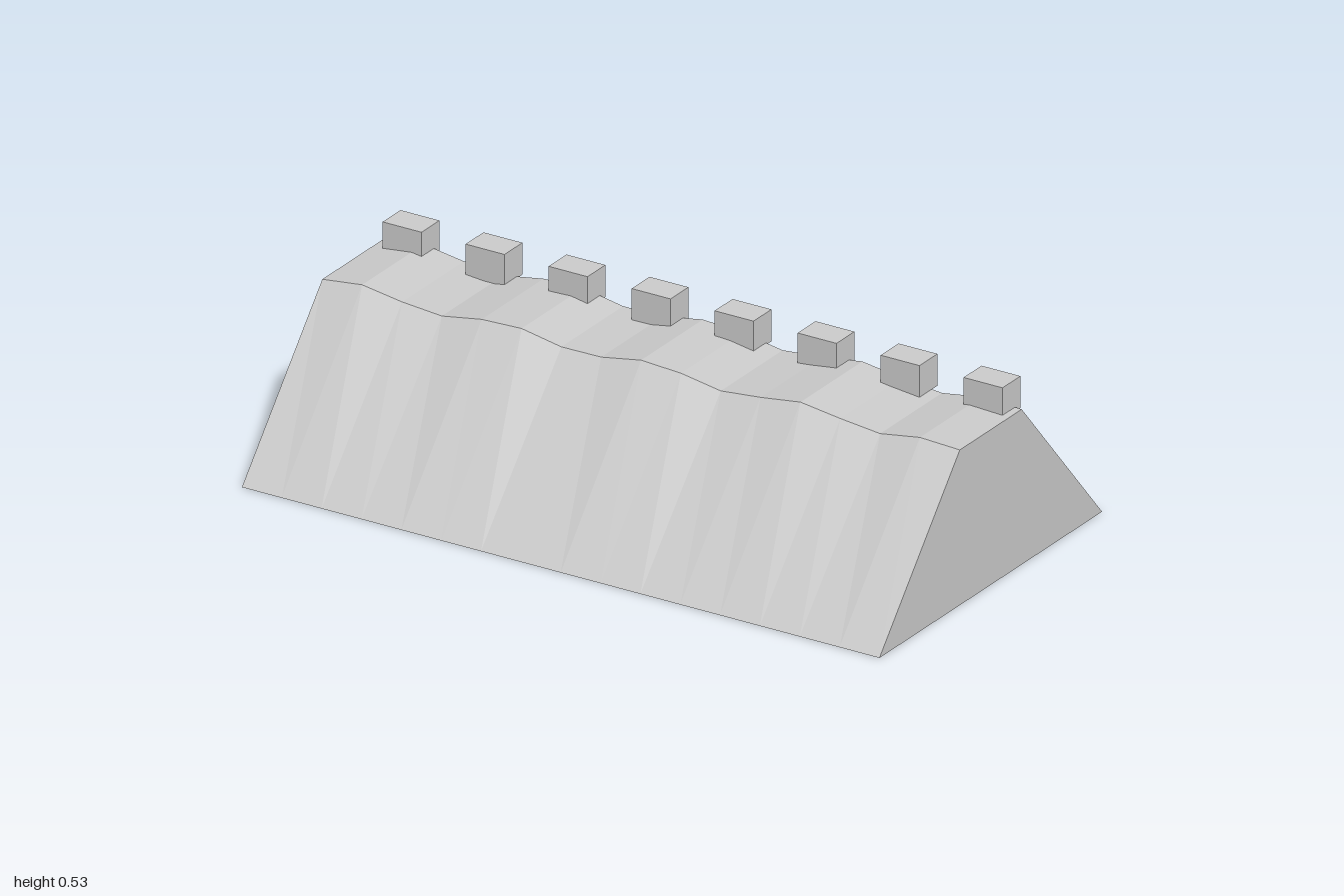
import * as THREE from 'three';

const SEGMENTS = 16;

// Cross-section of the embankment at station i: back base, back top, front top, front base
function section(i) {
  const x = -1 + (2 * i) / SEGMENTS;
  const y = 0.452 + (i === SEGMENTS ? 0 : 0.015 * Math.sin(i * 1.7));
  return [[x, 0, -0.547], [x, y, -0.152], [x, y, 0.152], [x, 0, 0.547]];
}

// Trapezoid bank with an uneven crest, faceted
function bankGeometry() {
  const positions = [];
  const quad = (a, b, c, d) => positions.push(...a, ...b, ...c, ...a, ...c, ...d);
  for (let i = 0; i < SEGMENTS; i++) {
    const p = section(i);
    const q = section(i + 1);
    for (let k = 0; k < 4; k++) {
      const n = (k + 1) % 4;
      quad(p[k], p[n], q[n], q[k]);
    }
  }
  quad(...section(0).reverse());
  quad(...section(SEGMENTS));
  const geometry = new THREE.BufferGeometry();
  geometry.setAttribute('position', new THREE.Float32BufferAttribute(positions, 3));
  geometry.computeVertexNormals();
  return geometry;
}

export function createModel() {
  const stone = new THREE.MeshStandardMaterial({ color: 0xcccccc });
  stone.name = 'pale grey stone';

  const model = new THREE.Group();
  model.name = 'embankment';

  const bank = new THREE.Mesh(bankGeometry(), stone);
  bank.name = 'bank';
  model.add(bank);

  // Row of parapet blocks along the back edge of the crest
  const blocks = new THREE.Group();
  blocks.name = 'parapetBlocks';
  const blockGeometry = new THREE.BoxGeometry(0.122, 0.093, 0.088);
  for (let i = 0; i < 8; i++) {
    const block = new THREE.Mesh(blockGeometry, stone);
    block.name = `parapetBlock${i + 1}`;
    block.position.set(-0.905 + i * 0.2604, 0.4865, -0.135);
    blocks.add(block);
  }
  model.add(blocks);

  return model;
}
